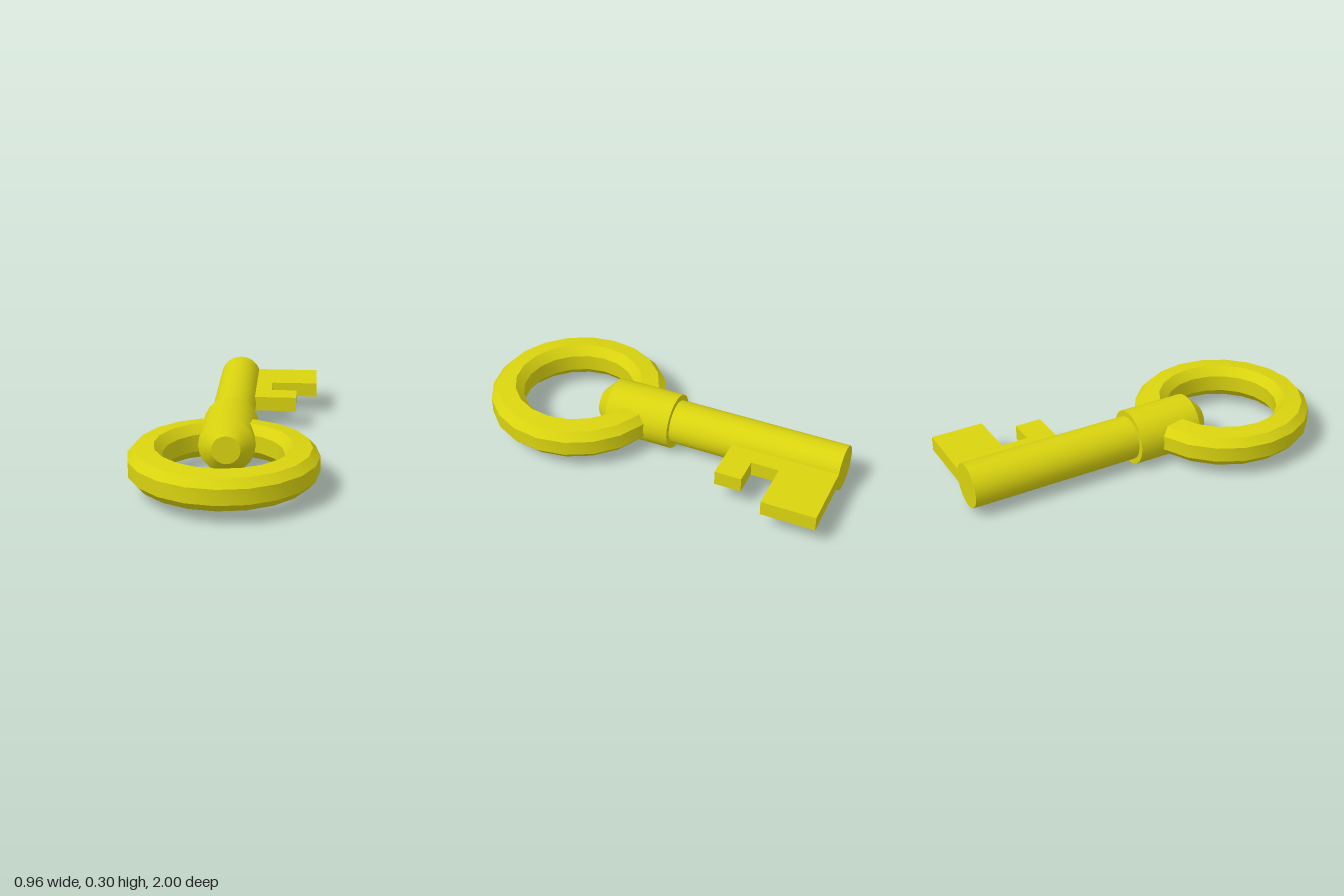
import * as THREE from 'three';
import { toCreasedNormals } from 'three/addons/utils/BufferGeometryUtils.js';

const SIDES = 20;
const MID_Y = 0.15;

export function createModel() {
  const key = new THREE.Group();
  key.name = 'key';
  const material = new THREE.MeshStandardMaterial({ color: 0xd9d30f });

  const add = (name, geometry) => {
    const mesh = new THREE.Mesh(geometry, material);
    mesh.name = name;
    key.add(mesh);
    return mesh;
  };
  // Revolved profile of [radius, height], smooth around and sharp along the profile
  const lathe = (points) => toCreasedNormals(
    new THREE.LatheGeometry(points.map(([r, h]) => new THREE.Vector2(r, h)), SIDES), 0.5);

  // Ring handle lying flat: closed eight-sided section
  const ring = add('ringHandle', lathe([
    [0.478, -0.04], [0.478, 0.04], [0.44, 0.082], [0.345, 0.093], [0.303, 0.045],
    [0.303, -0.045], [0.345, -0.093], [0.44, -0.082], [0.478, -0.04],
  ]));
  ring.position.set(0, MID_Y, 0.52);

  // Shaft and collar run along z
  const alongZ = (name, points) => {
    const mesh = add(name, lathe(points));
    mesh.rotation.x = Math.PI / 2;
    mesh.position.y = MID_Y;
  };
  alongZ('shaft', [[0, -1], [0.118, -1], [0.118, 0], [0, 0]]);
  alongZ('collar', [[0, -0.07], [0.148, -0.07], [0.148, 0.29], [0.075, 0.362], [0, 0.362]]);

  // Flat bit with a long and a short tooth, outlined in x and z
  const outline = [
    [0.09, -1], [0.462, -1], [0.462, -0.715], [0.203, -0.715],
    [0.203, -0.568], [0.345, -0.568], [0.345, -0.425], [0.09, -0.425],
  ].map(([x, z]) => new THREE.Vector2(x, z));
  const bit = add('bit', new THREE.ExtrudeGeometry(new THREE.Shape(outline),
    { depth: 0.08, bevelEnabled: false }));
  bit.rotation.x = Math.PI / 2;
  bit.position.y = MID_Y + 0.04;

  return key;
}
